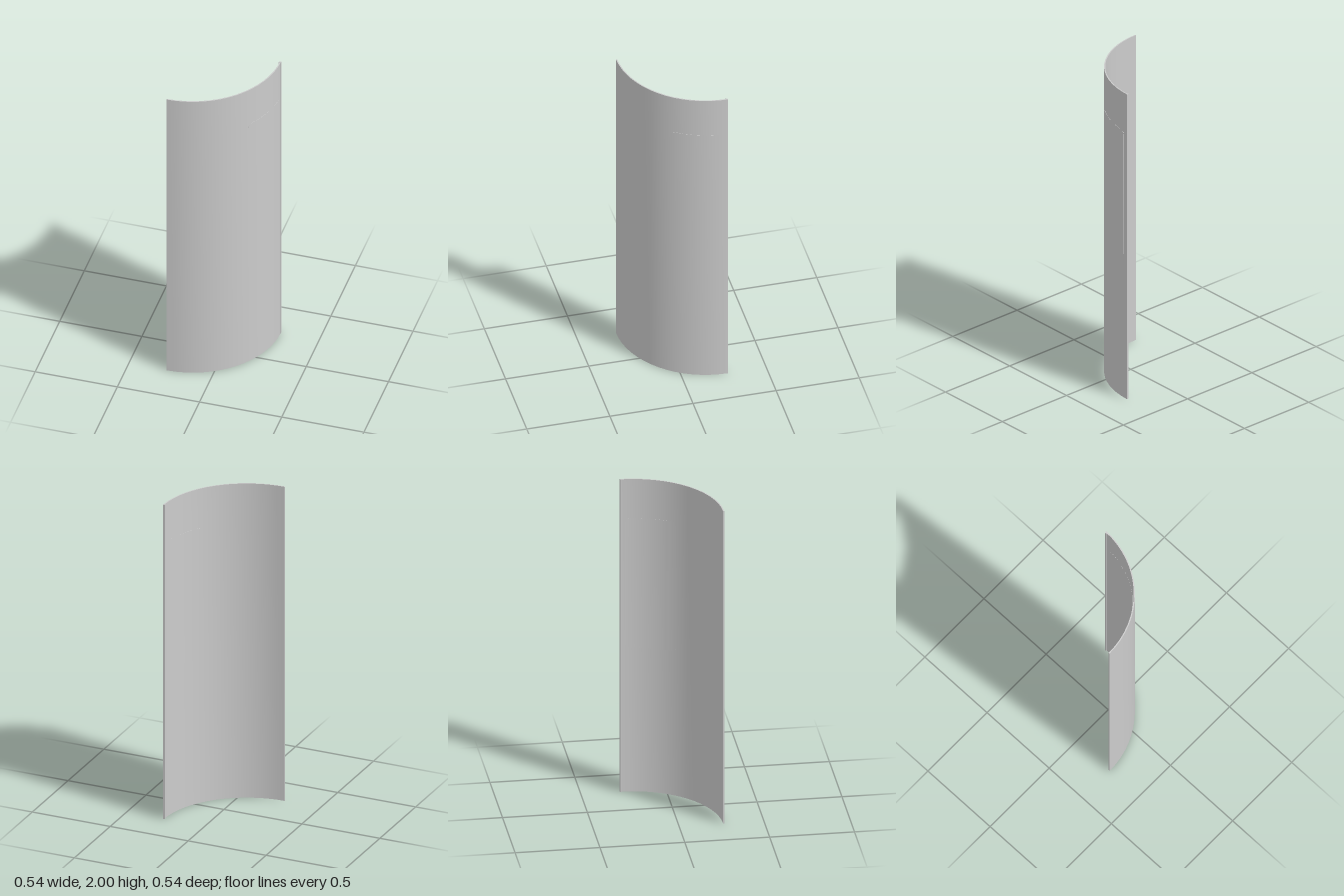
import * as THREE from 'three';
import { toCreasedNormals } from 'three/addons/utils/BufferGeometryUtils.js';

const CX = -0.27, CZ = -0.27;      // axis of the curved wall
const R_IN = 0.53, R_OUT = 0.537;
const HEIGHT = 2;

// Curved slab: each column is [angle, bottom, top]; angle 0 points to +x, PI/2 to +z.
function curvedSlab(columns, rIn, rOut) {
  const pos = [], idx = [];
  for (const [a, y0, y1] of columns) {
    const c = Math.cos(a), s = Math.sin(a);
    for (const [r, y] of [[rOut, y0], [rOut, y1], [rIn, y1], [rIn, y0]]) {
      pos.push(CX + r * c, y, CZ + r * s);
    }
  }
  const last = (columns.length - 1) * 4;
  for (let i = 0; i < last; i += 4) {
    for (let k = 0; k < 4; k++) {
      const a = i + k, b = i + (k + 1) % 4;
      idx.push(a, b, b + 4, a, b + 4, a + 4);
    }
  }
  // end caps
  idx.push(0, 2, 1, 0, 3, 2, last, last + 1, last + 2, last, last + 2, last + 3);
  const g = new THREE.BufferGeometry();
  g.setAttribute('position', new THREE.Float32BufferAttribute(pos, 3));
  g.setIndex(idx);
  return toCreasedNormals(g, 0.5);
}

// Columns of a rounded rectangle wrapped round the wall.
function roundedColumns(a0, a1, y0, y1, radius) {
  const da = radius / R_OUT, cols = [];
  const corner = 6, middle = 14;
  for (let i = 0; i <= corner; i++) {
    const t = (i / corner) * Math.PI / 2;
    const inset = radius * (1 - Math.sin(t));
    cols.push([a0 + da * (1 - Math.cos(t)), y0 + inset, y1 - inset]);
  }
  const mirrored = cols.map(([a, b, c]) => [a0 + a1 - a, b, c]).reverse();
  for (let i = 1; i < middle; i++) {
    cols.push([THREE.MathUtils.lerp(a0 + da, a1 - da, i / middle), y0, y1]);
  }
  return cols.concat(mirrored);
}

export function createModel() {
  const group = new THREE.Group();
  const material = new THREE.MeshStandardMaterial({ color: 0xcccccc });
  const add = (name, geometry, x = 0, y = 0, z = 0) => {
    const mesh = new THREE.Mesh(geometry, material);
    mesh.name = name;
    mesh.position.set(x, y, z);
    group.add(mesh);
  };

  // Quarter-round wall
  const wall = [];
  for (let i = 0; i <= 16; i++) wall.push([(i / 16) * Math.PI / 2, 0, HEIGHT]);
  add('curvedWall', curvedSlab(wall, R_IN, R_OUT));

  // Rounded panel, a hair proud of both faces
  add('doorPanel', curvedSlab(roundedColumns(0.056, 0.64, 0.92, 1.75, 0.03), R_IN - 0.001, R_OUT + 0.001));

  // Edge strip and its small inner lip
  add('edgeStrip', new THREE.BoxGeometry(0.008, HEIGHT, 0.01), 0.264, HEIGHT / 2, -0.265);
  add('edgeLip', new THREE.BoxGeometry(0.007, HEIGHT, 0.009), 0.2585, HEIGHT / 2, -0.2635);

  return group;
}
